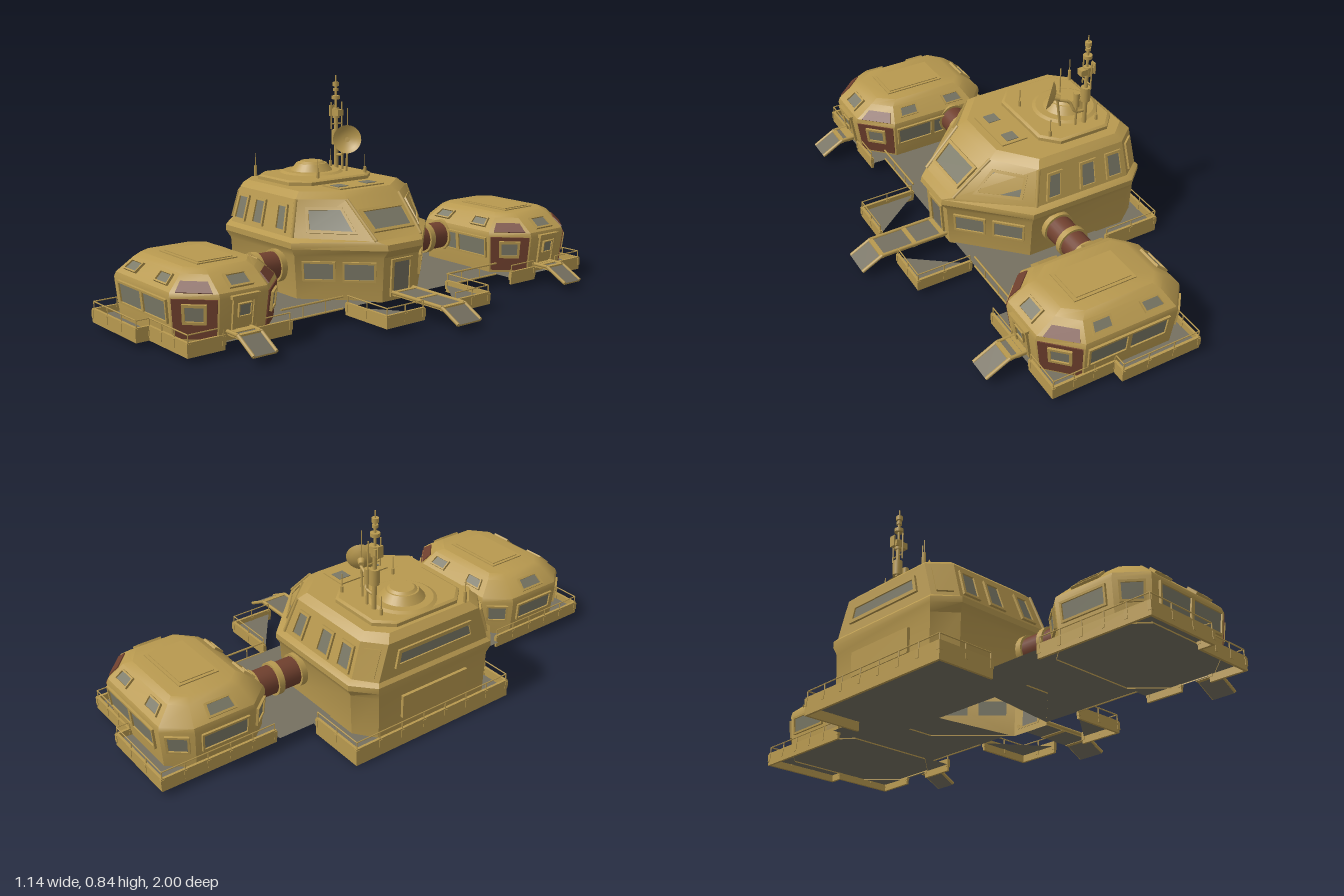
import * as THREE from 'three';
import { toCreasedNormals } from 'three/addons/utils/BufferGeometryUtils.js';

// Hulls and decks are open shells, so every material is double sided
const mat = (name, color) => {
  const m = new THREE.MeshStandardMaterial({ color, side: THREE.DoubleSide });
  m.name = name;
  return m;
};
const V = (x, y, z) => new THREE.Vector3(x, y, z);

export function createModel() {
  const tan = mat('tan hull', 0xb8994f);
  const grey = mat('deck grey', 0x757060);
  const glass = mat('window grey', 0x7a7866);
  const rust = mat('rust red', 0x70402e);
  const model = new THREE.Group();
  model.name = 'outpost';

  const add = (parent, name, geo, m, x = 0, y = 0, z = 0) => {
    const mesh = new THREE.Mesh(geo, m);
    mesh.name = name;
    mesh.position.set(x, y, z);
    parent.add(mesh);
    return mesh;
  };
  const box = (p, name, m, x0, x1, y0, y1, z0, z1) =>
    add(p, name, new THREE.BoxGeometry(x1 - x0, y1 - y0, z1 - z0), m, (x0 + x1) / 2, (y0 + y1) / 2, (z0 + z1) / 2);
  const cyl = (p, name, m, rt, rb, y0, y1, x, z, n = 16) =>
    add(p, name, new THREE.CylinderGeometry(rt, rb, y1 - y0, n), m, x, (y0 + y1) / 2, z);
  const bar = (p, name, a, b, r = 0.003) => {
    const d = b.clone().sub(a);
    const mesh = add(p, name, new THREE.CylinderGeometry(r, r, d.length(), 6), tan);
    mesh.position.copy(a).add(b).multiplyScalar(0.5);
    mesh.quaternion.setFromUnitVectors(V(0, 1, 0), d.normalize());
  };

  // Skin through closed cross-sections, with an optional cap on the last one
  const loft = (rings, cap = true) => {
    const pos = [];
    const tri = (...p) => p.forEach(q => pos.push(q.x, q.y, q.z));
    const n = rings[0].length;
    for (let i = 0; i < rings.length - 1; i++) for (let k = 0; k < n; k++) {
      const a = rings[i][k], b = rings[i][(k + 1) % n], c = rings[i + 1][(k + 1) % n], d = rings[i + 1][k];
      tri(a, b, c);
      tri(a, c, d);
    }
    if (cap) {
      const top = rings[rings.length - 1];
      for (let k = 1; k < n - 1; k++) tri(top[0], top[k], top[k + 1]);
    }
    const g = new THREE.BufferGeometry();
    g.setAttribute('position', new THREE.Float32BufferAttribute(pos, 3));
    return toCreasedNormals(g, 0.5);
  };
  // Chamfered plan. Faces: 0 front, 1/7 front corners, 2/6 sides, 3/5 rear corners, 4 rear
  const octagon = ([y, xb, xk, xs, xf, m, w, n]) => [
    V(xf, y, n), V(xf, y, -n), V(xs, y, -w), V(xk, y, -w), V(xb, y, -m), V(xb, y, m), V(xk, y, w), V(xs, y, w)];

  // Quad lying on one hull face, in face coordinates u (left to right) and v (up)
  const quadOn = (rings, f, a, u0, u1, v0, v1) => {
    const at = (u, v) => {
      const lo = rings[a][f].clone().lerp(rings[a][(f + 1) % 8], u);
      return lo.lerp(rings[a + 1][f].clone().lerp(rings[a + 1][(f + 1) % 8], u), v);
    };
    const q = [at(u0, v0), at(u1, v0), at(u1, v1), at(u0, v1)];
    const n = q[1].clone().sub(q[0]).cross(q[3].clone().sub(q[0])).normalize();
    return { q, lift: (pts, h) => pts.map(p => p.clone().addScaledVector(n, h)) };
  };
  const panel = (p, name, m, rings, f, a, u0, u1, v0, v1, h = 0.004) => {
    const { q, lift } = quadOn(rings, f, a, u0, u1, v0, v1);
    add(p, name, loft([q, lift(q, h)]), m);
  };
  // Raised frame around a thin pane, with a second pane inside the shell
  const frame = (p, name, m, rings, f, a, u0, u1, v0, v1, t = 0.008, base = 0) => {
    const { q, lift } = quadOn(rings, f, a, u0, u1, v0, v1);
    const inner = q.map((c, i) => c.clone()
      .addScaledVector(q[(i + 1) % 4].clone().sub(c).normalize(), t)
      .addScaledVector(q[(i + 3) % 4].clone().sub(c).normalize(), t));
    const h = base + 0.009;
    add(p, name + 'Frame', loft([q, lift(q, h), lift(inner, h), inner], false), tan);
    add(p, name, loft([lift(inner, base), lift(inner, base + 0.003)]), m);
    add(p, name + 'Inside', loft([lift(inner, -0.003)]), m);
  };

  // Decks: thin grey sheets, open below the middle of the building
  const decks = new THREE.Group();
  decks.name = 'decks';
  model.add(decks);
  const sheet = (name, y, pts) => add(decks, name, loft([pts.map(([x, z]) => V(x, y, z))]), grey);
  const rect = (x0, x1, z0, z1) => [[x1, z1], [x1, z0], [x0, z0], [x0, z1]];
  sheet('rearDeck', 0.036, rect(-0.575, -0.15, -0.38, 0.345));
  sheet('habitatDeck', 0.045, rect(-0.32, 0, 0.53, 1));
  sheet('habitatDeckFront', 0.045, rect(0, 0.25, 0.53, 0.95));
  sheet('habitatDeck', 0.045, rect(-0.31, 0.02, -1, -0.535));
  sheet('habitatDeckFront', 0.045, rect(0.02, 0.27, -0.95, -0.535));
  for (const s of [-1, 1]) {
    const turn = pts => (s < 0 ? pts : pts.map(([x, z]) => [x, -z]).reverse());
    sheet('middleDeck', 0.045, turn([[0.185, -0.1], [0.185, -0.535], [-0.33, -0.535], [-0.33, -0.3], [-0.15, -0.15]]));
    sheet('triangleDeck', 0.05, turn([[0.42, -0.08], [0.42, -0.25], [0.19, -0.25]]));
    for (const y of [0.045, 0.09]) bar(decks, 'middleDeckRail', V(0.185, y, s * 0.26), V(0.185, y, s * 0.535), 0.004);
    for (const z of [0.34, 0.44]) bar(decks, 'middleDeckPost', V(0.185, 0.045, s * z), V(0.185, 0.09, s * z), 0.0025);
  }

  // Railings with posts above a kerb wall and edge brackets
  const rail = (y0, pts) => {
    for (let i = 0; i < pts.length - 1; i++) {
      const a = V(pts[i][0], 0.095, pts[i][1]), b = V(pts[i + 1][0], 0.095, pts[i + 1][1]);
      const n = Math.max(1, Math.round(a.distanceTo(b) / 0.1));
      bar(decks, 'handrail', a, b, 0.0025);
      box(decks, 'kerbWall', tan, Math.min(a.x, b.x) - 0.005, Math.max(a.x, b.x) + 0.005, y0, 0.07,
        Math.min(a.z, b.z) - 0.005, Math.max(a.z, b.z) + 0.005);
      for (let k = 0; k <= n; k++) {
        const p = a.clone().lerp(b, k / n);
        bar(decks, 'railPost', p, p.clone().setY(0.065), 0.0025);
        add(decks, 'edgeBracket', new THREE.BoxGeometry(0.014, 0.03, 0.014), tan, p.x, 0.05, p.z);
      }
    }
  };
  rail(0, [[-0.34, -0.375], [-0.57, -0.375], [-0.57, 0.34], [-0.34, 0.34]]);
  rail(0.018, [[-0.315, 0.54], [-0.315, 0.995], [-0.005, 0.995], [-0.005, 0.945], [0.245, 0.945], [0.245, 0.81]]);
  rail(0.018, [[0.245, 0.68], [0.245, 0.54]]);
  rail(0.018, [[-0.305, -0.54], [-0.305, -0.995], [0.015, -0.995], [0.015, -0.945], [0.265, -0.945], [0.265, -0.8]]);
  rail(0.018, [[0.265, -0.67], [0.265, -0.54]]);
  for (const s of [-1, 1]) rail(0.022, [[0.2, s * 0.25], [0.42, s * 0.25], [0.42, s * 0.08]]);

  // Entrance walkways: flat landing, then a ramp down
  const plankMats = [tan, tan, grey, grey, tan, tan];
  const walkway = (x0, x1, x2, z, w, y) => {
    const g = new THREE.Group();
    g.name = 'walkway';
    model.add(g);
    box(g, 'landing', plankMats, x0, x1, y - 0.012, y, z - w, z + w);
    const len = Math.hypot(x2 - x1, y - 0.03);
    const ramp = add(g, 'ramp', new THREE.BoxGeometry(len, 0.008, 2 * w), plankMats, (x1 + x2) / 2, (y + 0.024) / 2, z);
    ramp.rotation.z = -Math.atan2(y - 0.03, x2 - x1);
    for (const s of [-w, w]) {
      bar(g, 'walkwayEdge', V(x0, y, z + s), V(x1, y, z + s), 0.007);
      bar(g, 'rampEdge', V(x1, y, z + s), V(x2, 0.03, z + s), 0.007);
    }
    for (const x of [x0 + 0.02, (x0 + x1) / 2, x1]) box(g, 'walkwayRib', tan, x - 0.009, x + 0.009, y - 0.014, y + 0.003, z - w, z + w);
  };
  walkway(0.2, 0.48, 0.565, -0.01, 0.055, 0.075);
  walkway(0.24, 0.31, 0.4, 0.75, 0.045, 0.08);
  walkway(0.25, 0.33, 0.425, -0.725, 0.045, 0.08);

  // Central building
  const main = new THREE.Group();
  main.name = 'mainBuilding';
  model.add(main);
  const M = [
    [0.04, -0.535, -0.455, -0.03, 0.2, 0.25, 0.31, 0.085], [0.21, -0.54, -0.46, -0.03, 0.21, 0.255, 0.32, 0.085],
    [0.24, -0.55, -0.47, -0.025, 0.235, 0.265, 0.337, 0.085], [0.262, -0.55, -0.47, -0.025, 0.23, 0.265, 0.337, 0.085],
    [0.275, -0.538, -0.46, -0.05, 0.195, 0.255, 0.315, 0.11], [0.412, -0.532, -0.455, -0.08, 0.045, 0.21, 0.274, 0.128],
    [0.437, -0.505, -0.44, -0.1, 0.01, 0.185, 0.245, 0.115]].map(octagon);
  add(main, 'hull', loft(M), tan);
  for (const k of [0, 1, 2, 7]) bar(main, 'cornerRib', M[4][k], M[5][k], 0.007);
  frame(main, 'windshield', glass, M, 0, 4, 0.06, 0.94, 0.18, 0.72, 0.012);
  frame(main, 'frontDoor', grey, M, 0, 0, 0.2, 0.8, 0.1, 0.95, 0.012);
  for (const f of [1, 7]) {
    frame(main, 'cornerWindow', glass, M, f, 4, 0.18, 0.82, 0.14, 0.8, 0.012);
    for (const u of [0.08, 0.54]) frame(main, 'lowerWindow', glass, M, f, 0, u, u + 0.38, 0.45, 0.9);
  }
  for (const [u0, u1] of [[0.04, 0.23], [0.34, 0.53], [0.73, 0.9]]) {
    frame(main, 'sideWindow', glass, M, 6, 4, u0, u1, 0.08, 0.82, 0.01);
    frame(main, 'sideWindow', glass, M, 2, 4, 1 - u1, 1 - u0, 0.08, 0.82, 0.01);
  }
  for (const f of [3, 5]) panel(main, 'rearCornerPanel', tan, M, f, 4, 0.2, 0.8, 0.1, 0.85, 0.008);
  frame(main, 'rearWindow', glass, M, 4, 4, 0.12, 0.88, 0.25, 0.75, 0.014);
  panel(main, 'rearPanel', tan, M, 4, 0, 0.2, 0.8, 0.3, 0.85, 0.012);

  // Roof plate, turret and skylight
  const plate = [[0.435, -0.49, -0.43, -0.22, -0.16, 0.14, 0.205, 0.14], [0.45, -0.49, -0.43, -0.22, -0.16, 0.14, 0.205, 0.14],
    [0.456, -0.48, -0.425, -0.225, -0.17, 0.135, 0.195, 0.135]].map(octagon);
  add(main, 'roofPlate', loft(plate), tan);
  cyl(main, 'turretBase', tan, 0.115, 0.13, 0.455, 0.463, -0.36, -0.01, 32);
  cyl(main, 'turret', tan, 0.062, 0.085, 0.463, 0.492, -0.36, -0.01, 32);
  cyl(main, 'turretCap', tan, 0.045, 0.055, 0.492, 0.5, -0.36, -0.01, 32);
  box(main, 'skylightFrame', tan, -0.13, -0.02, 0.435, 0.442, -0.11, 0.11);
  for (const z of [-0.07, 0.07]) box(main, 'skylight', glass, -0.1, -0.05, 0.442, 0.444, z - 0.025, z + 0.025);

  // Antenna mast
  const mast = new THREE.Group();
  mast.name = 'antennaMast';
  model.add(mast);
  const mx = -0.365, mz = -0.142;
  [[0.009, 0.45, 0.555], [0.019, 0.555, 0.615], [0.008, 0.615, 0.665], [0.015, 0.665, 0.705], [0.005, 0.705, 0.8],
    [0.018, 0.742, 0.756], [0.011, 0.775, 0.787], [0.013, 0.795, 0.812], [0.0025, 0.8, 0.84]]
    .forEach(([r, y0, y1]) => cyl(mast, 'mastSection', tan, r, r, y0, y1, mx, mz, 12));
  box(mast, 'crossArm', tan, mx - 0.02, mx + 0.033, 0.675, 0.7, mz - 0.014, mz + 0.014);
  box(mast, 'sideAerial', tan, mx - 0.032, mx - 0.026, 0.67, 0.715, mz - 0.012, mz + 0.012);
  for (const z of [-0.03, 0.025]) {
    bar(mast, 'sideRod', V(mx, 0.62, mz + z), V(mx, 0.73, mz + z));
    bar(mast, 'sideRodArm', V(mx, 0.64, mz), V(mx, 0.64, mz + z));
  }
  cyl(mast, 'sensorPod', tan, 0.012, 0.012, 0.54, 0.6, -0.325, mz, 12);
  cyl(mast, 'sensorStand', tan, 0.005, 0.005, 0.455, 0.54, -0.325, mz, 8);
  const arm = new THREE.CatmullRomCurve3([V(mx, 0.51, mz), V(-0.32, 0.52, mz), V(-0.3, 0.56, -0.13), V(-0.26, 0.575, -0.12)]);
  add(mast, 'dishArm', new THREE.TubeGeometry(arm, 16, 0.006, 8), tan);
  bar(mast, 'dishStand', V(-0.27, 0.45, -0.12), V(-0.255, 0.58, -0.115), 0.005);

  // Dish
  const dish = new THREE.Group();
  dish.name = 'dish';
  dish.position.set(-0.25, 0.588, -0.11);
  dish.quaternion.setFromUnitVectors(V(0, 1, 0), V(0.74, 0.2, 0.64).normalize());
  model.add(dish);
  const profile = [[0, 0], [0.02, 0.002], [0.04, 0.01], [0.057, 0.022]].map(p => new THREE.Vector2(...p));
  add(dish, 'dishBowl', new THREE.LatheGeometry(profile, 32), tan);
  cyl(dish, 'dishHub', tan, 0.015, 0.01, -0.02, 0.001, 0, 0);
  bar(mast, 'dishWhip', V(-0.262, 0.61, -0.12), V(-0.262, 0.715, -0.12), 0.0025);

  // Small whip aerials on the roof
  for (const [x, z] of [[-0.5, 0.17], [-0.205, 0.075], [-0.415, -0.15], [-0.2, -0.16]]) {
    cyl(main, 'aerialBase', tan, 0.006, 0.007, 0.43, 0.48, x, z, 8);
    cyl(main, 'aerial', tan, 0.002, 0.002, 0.48, 0.53, x, z, 6);
  }

  // Side habitats
  const H = [[0.04, -0.285, -0.21, 0.15, 0.26, 0.115, 0.2, 0.09], [0.195, -0.3, -0.22, 0.16, 0.283, 0.12, 0.215, 0.095],
    [0.213, -0.295, -0.215, 0.155, 0.277, 0.12, 0.21, 0.095], [0.265, -0.235, -0.185, 0.135, 0.205, 0.1, 0.155, 0.09],
    [0.28, -0.205, -0.165, 0.11, 0.175, 0.085, 0.13, 0.08]].map(octagon);
  for (const [x, z] of [[-0.02, 0.735], [-0.01, -0.74]]) {
    const hab = new THREE.Group();
    hab.name = 'sideHabitat';
    hab.position.set(x, 0, z);
    model.add(hab);
    add(hab, 'hull', loft(H), tan);
    box(hab, 'roofHatch', tan, -0.135, 0.12, 0.278, 0.284, -0.08, 0.08);
    box(hab, 'roofHatchPanel', tan, -0.122, 0.107, 0.284, 0.287, -0.068, 0.068);
    for (const [f, us] of [[2, [0.03, 0.47]], [6, [0.09, 0.53]]]) {
      for (const u of us) frame(hab, 'sideWindow', glass, H, f, 0, u, u + 0.44, 0.42, 0.97);
      for (const u of [0.08, 0.68]) frame(hab, 'slopeWindow', glass, H, f, 2, u, u + 0.24, 0.25, 0.85, 0.006);
    }
    for (const f of [0, 4]) frame(hab, 'endSlopeWindow', glass, H, f, 2, 0.25, 0.75, 0.15, 0.85, 0.008);
    for (const f of [3, 5]) frame(hab, 'rearCornerWindow', glass, H, f, 0, 0.15, 0.85, 0.45, 0.92);
    for (const f of [1, 7]) {
      panel(hab, 'rustCorner', rust, H, f, 0, 0.04, 0.96, 0.1, 1);
      panel(hab, 'rustCornerSlope', rust, H, f, 2, 0.12, 0.88, 0, 0.6);
      frame(hab, 'frontCornerWindow', glass, H, f, 0, 0.25, 0.75, 0.45, 0.9, 0.01, 0.004);
    }
    frame(hab, 'rearWindow', glass, H, 4, 0, 0.1, 0.9, 0.45, 0.92);
    frame(hab, 'door', tan, H, 0, 0, 0.25, 0.75, 0.15, 0.97, 0.012);
    frame(hab, 'doorWindow', glass, H, 0, 0, 0.36, 0.64, 0.55, 0.86, 0.004, 0.004);
    box(hab, 'doorHood', tan, 0.26, 0.298, 0.19, 0.202, -0.055, 0.055);
  }

  // Connecting tunnels with collars
  for (const s of [-1, 1]) {
    const tunnel = new THREE.Group();
    tunnel.name = 'tunnel';
    tunnel.position.set(-0.138, 0.157, s * 0.43);
    tunnel.rotation.x = Math.PI / 2;
    model.add(tunnel);
    cyl(tunnel, 'tube', rust, 0.055, 0.055, -0.12, 0.12, 0, 0, 24);
    for (const y of [-0.1, 0, 0.1]) cyl(tunnel, 'collar', tan, 0.064, 0.064, y - 0.012, y + 0.012, 0, 0, 24);
  }
  return model;
}
